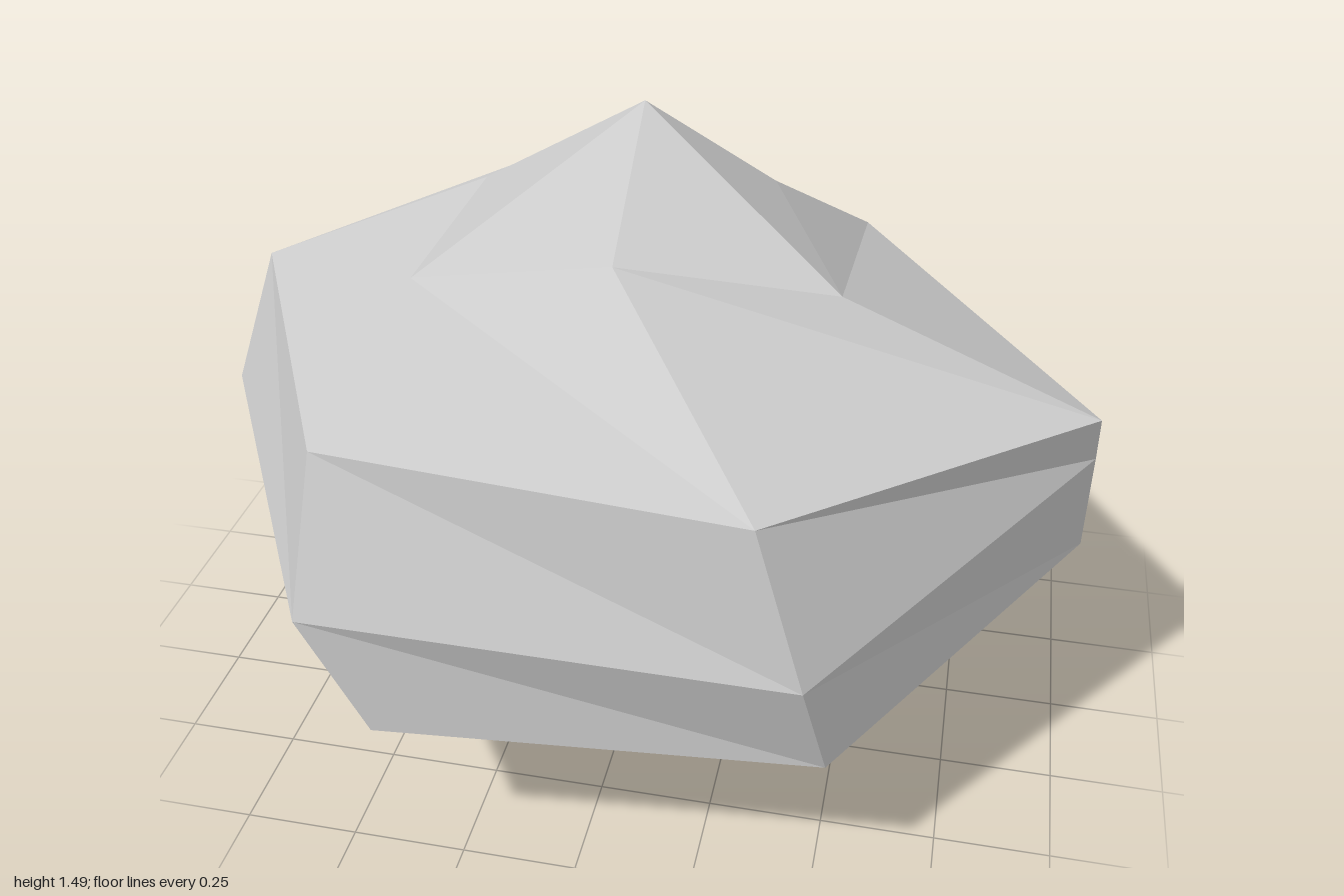
import * as THREE from 'three';

// Six-sided rings of the rock, top to bottom, each going round from -x by way of +z
const rings = [
  [[-0.43, 1.16, -0.22], [-0.44, 1.15, 0.295], [0, 1.24, 0.335], [0.45, 1.18, 0.25], [0.25, 1.22, -0.2], [0.01, 1.155, -0.46]],
  [[-0.9, 1.01, -0.02], [-0.49, 1.015, 0.77], [0.37, 1.0, 0.825], [0.985, 0.95, 0.235], [0.42, 0.855, -0.815], [-0.385, 1.03, -0.745]],
  [[-1, 0.69, 0.02], [-0.51, 0.695, 0.885], [0.475, 0.665, 0.855], [0.99, 0.83, 0.19], [0.33, 0.545, -0.89], [-0.47, 0.74, -0.81]],
  [[-0.92, 0.425, 0.08], [-0.38, 0.43, 0.87], [0.52, 0.415, 0.77], [1, 0.53, 0.07], [0.18, 0.27, -0.77], [-0.44, 0.42, -0.78]],
  [[-0.24, 0.07, 0.12], [-0.05, 0.08, 0.29], [0.21, 0.09, 0.25], [0.17, 0, -0.24], [-0.28, 0.07, -0.38], [-0.14, 0.1, -0.14]],
];
const peak = [0.01, 1.49, 0.07];
const base = [0, 0.16, 0.05];

// Skin the rings with triangles and close both ends on a point
function skin(rings, top, bottom) {
  const sides = rings[0].length;
  const points = [...rings.flat(), top, bottom];
  const topIndex = points.length - 2;
  const bottomIndex = points.length - 1;
  const at = (row, i) => row * sides + (i % sides);
  const last = rings.length - 1;
  const index = [];
  for (let i = 0; i < sides; i++) {
    index.push(topIndex, at(0, i), at(0, i + 1));
    for (let row = 0; row < last; row++) {
      const a = at(row, i + 1), b = at(row, i), c = at(row + 1, i), d = at(row + 1, i + 1);
      index.push(a, b, d, b, c, d);
    }
    index.push(at(last, i), bottomIndex, at(last, i + 1));
  }
  const geometry = new THREE.BufferGeometry();
  geometry.setAttribute('position', new THREE.Float32BufferAttribute(points.flat(), 3));
  geometry.setIndex(index);
  geometry.computeVertexNormals();
  return geometry;
}

export function createModel() {
  const group = new THREE.Group();
  group.name = 'boulder';
  const material = new THREE.MeshStandardMaterial({ color: 0xcccccc, flatShading: true });
  const rock = new THREE.Mesh(skin(rings, peak, base), material);
  rock.name = 'rock';
  group.add(rock);
  return group;
}
